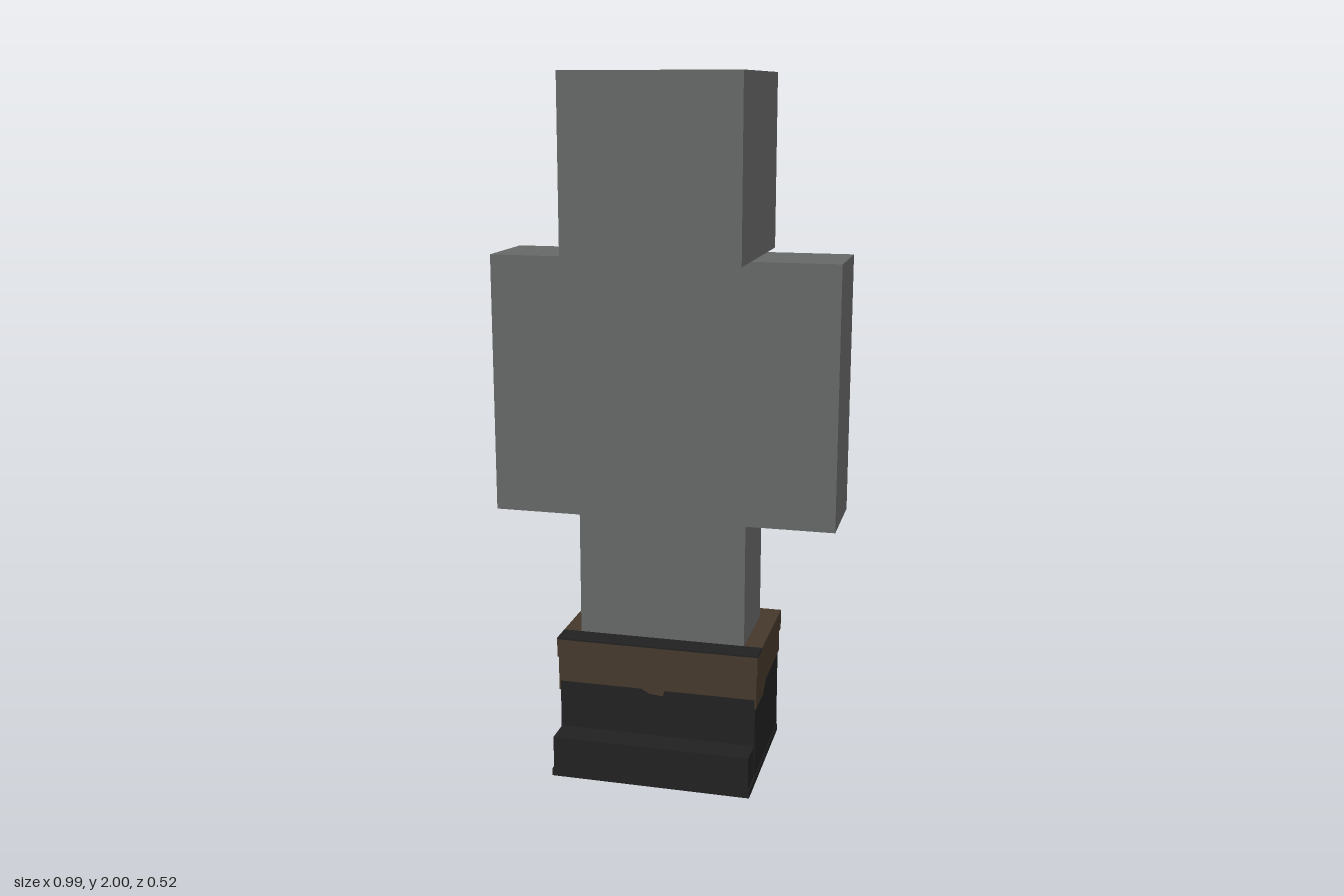
import * as THREE from 'three';

export function createModel() {
  const root = new THREE.Group();
  const material = (name, color) => {
    const m = new THREE.MeshStandardMaterial({ color });
    m.name = name;
    return m;
  };
  const grey = material('bodyGrey', 0x686a69);
  const black = material('bootBlack', 0x222222);
  const brown = material('cuffBrown', 0x473a2d);

  const add = (name, geometry, mat, parent = root) => {
    const mesh = new THREE.Mesh(geometry, mat);
    mesh.name = name;
    parent.add(mesh);
    return mesh;
  };
  // Box given by its minimum and maximum corners
  const block = (name, mat, [x0, y0, z0], [x1, y1, z1], parent) => {
    const g = new THREE.BoxGeometry(x1 - x0, y1 - y0, z1 - z0);
    g.translate((x0 + x1) / 2, (y0 + y1) / 2, (z0 + z1) / 2);
    return add(name, g, mat, parent);
  };
  const extrude = (points, depth) => new THREE.ExtrudeGeometry(
    new THREE.Shape(points.map(([x, y]) => new THREE.Vector2(x, y))),
    { depth, bevelEnabled: false });

  // Head
  block('head', grey, [-0.25, 1.5, -0.26], [0.25, 2, 0.24]);

  // Torso, arms and legs share one flat silhouette
  const half = [[0.244, 0.3], [0.244, 0.755], [0.497, 0.755], [0.497, 1.5]];
  const outline = [...half, ...half.map(([x, y]) => [-x, y]).reverse()];
  add('torsoArmsAndLegs', extrude(outline, 0.247).translate(0, 0, -0.135), grey);

  // Boots: shaft, toe step and sole
  const boots = new THREE.Group();
  boots.name = 'boots';
  root.add(boots);
  block('bootShaft', black, [-0.29, 0.01, -0.197], [0.29, 0.393, 0.174], boots);
  block('bootToe', black, [-0.288, 0.01, 0.17], [0.288, 0.12, 0.256], boots);
  block('bootSole', black, [-0.292, 0, -0.2], [0.292, 0.022, 0.259], boots);

  // Brown cuff faces with an uneven lower edge and a slightly wider top band
  const t = 0.004, top = 0.395, band = 0.338;
  const face = [[-0.293, top], [-0.293, 0.263], [-0.045, 0.263], [-0.02, 0.25],
    [0.02, 0.246], [0.025, 0.263], [0.293, 0.263], [0.293, top]];
  add('frontCuff', extrude(face, t).translate(0, 0, 0.173), brown, boots);
  add('backCuff', extrude(face, t).rotateY(Math.PI).translate(0, 0, -0.196), brown, boots);
  // Side outline runs along -z after the quarter turn
  const side = [[-0.177, top], [-0.177, 0.235], [-0.06, 0.235], [-0.025, 0.265],
    [0.2, 0.267], [0.2, top]];
  for (const s of [1, -1]) {
    const label = s > 0 ? 'left' : 'right';
    add(label + 'Cuff', extrude(side, t).rotateY(Math.PI / 2)
      .translate(s > 0 ? 0.2895 : -0.2935, 0, 0), brown, boots);
    const x0 = s > 0 ? 0.29 : -0.297, x1 = s > 0 ? 0.297 : -0.29;
    block(label + 'CuffBand', brown, [x0, band, -0.205], [x1, 0.397, 0.112], boots);
    block(label + 'CuffBandFront', brown, [x0, band, 0.112], [x1, 0.394, 0.18], boots);
    const r0 = s > 0 ? 0.244 : -0.294, r1 = s > 0 ? 0.294 : -0.244;
    block(label + 'Rim', brown, [r0, 0.392, -0.2], [r1, 0.397, 0.112], boots);
  }
  block('frontCuffBand', brown, [-0.297, band, 0.174], [0.297, 0.394, 0.18], boots);
  block('backCuffBand', brown, [-0.297, band, -0.205], [0.297, 0.397, -0.197], boots);

  // Boot opening: brown rim behind the legs, dark rim in front
  block('backRim', brown, [-0.244, 0.392, -0.2], [0.244, 0.397, -0.13], boots);
  block('frontRim', black, [-0.297, 0.392, 0.112], [0.297, 0.397, 0.18], boots);

  return root;
}
